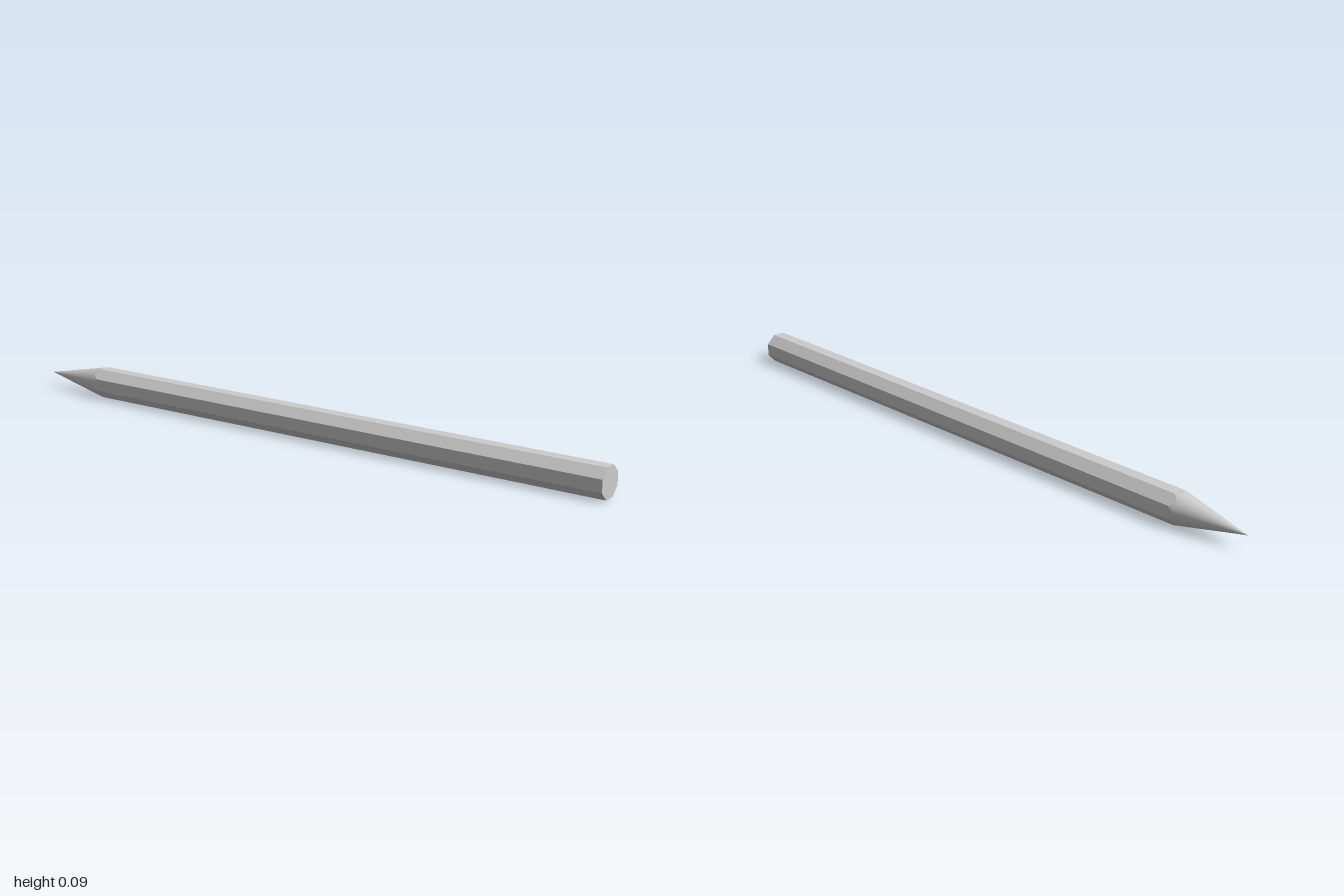
import * as THREE from 'three';

const APOTHEM = 0.046;   // half the width across flats
const LENGTH = 2.05;
const TAPER = 4.8;       // cone length per unit of radius
const SIDES = 8;
const SEGMENTS = 64;

// Ratio of the octagon's radius to its apothem in the direction (x, z)
function octagonFactor(x, z) {
  const step = (2 * Math.PI) / SIDES;
  const angle = Math.atan2(x, z);
  return 1 / Math.cos(angle - step * Math.round(angle / step));
}

function reshape(geometry, rule) {
  const pos = geometry.attributes.position;
  const v = new THREE.Vector3();
  for (let i = 0; i < pos.count; i++) {
    v.fromBufferAttribute(pos, i);
    rule(v);
    pos.setXYZ(i, v.x, v.y, v.z);
  }
  return geometry;
}

export function createModel() {
  const material = new THREE.MeshStandardMaterial({ color: 0xcccccc });
  const flatMaterial = new THREE.MeshStandardMaterial({ color: 0xcccccc, flatShading: true });
  const pencil = new THREE.Group();
  pencil.name = 'pencil';

  const add = (name, geometry, mat) => {
    const mesh = new THREE.Mesh(geometry, mat);
    mesh.name = name;
    pencil.add(mesh);
  };

  // Sharpened cone, point at the origin, stretched along its slope to meet the octagon
  const cone = new THREE.ConeGeometry(APOTHEM, APOTHEM * TAPER, SEGMENTS, 1, true);
  cone.translate(0, -APOTHEM * TAPER / 2, 0);
  reshape(cone, (v) => {
    if (v.y < -0.01) v.multiplyScalar(octagonFactor(v.x, v.z));
  });
  add('sharpenedTip', cone, material);

  // Octagonal barrel whose front rim is scalloped where the cone cuts it
  const barrel = new THREE.CylinderGeometry(APOTHEM, APOTHEM, 1, SEGMENTS, 1, true);
  reshape(barrel, (v) => {
    const f = octagonFactor(v.x, v.z);
    v.set(v.x * f, v.y > 0 ? -APOTHEM * f * TAPER : -LENGTH, v.z * f);
  });
  add('barrel', barrel, flatMaterial);

  // Flat rear end
  const end = new THREE.CircleGeometry(APOTHEM / Math.cos(Math.PI / SIDES), SIDES, Math.PI / SIDES);
  end.rotateX(Math.PI / 2).translate(0, -LENGTH, 0);
  add('rearEnd', end, flatMaterial);

  // Lay the pencil down on one flat, turned slightly
  pencil.rotation.set(0, -0.246, Math.PI / 2);
  pencil.position.set(-1, APOTHEM, -0.272);

  const model = new THREE.Group();
  model.name = 'model';
  model.add(pencil);
  return model;
}
